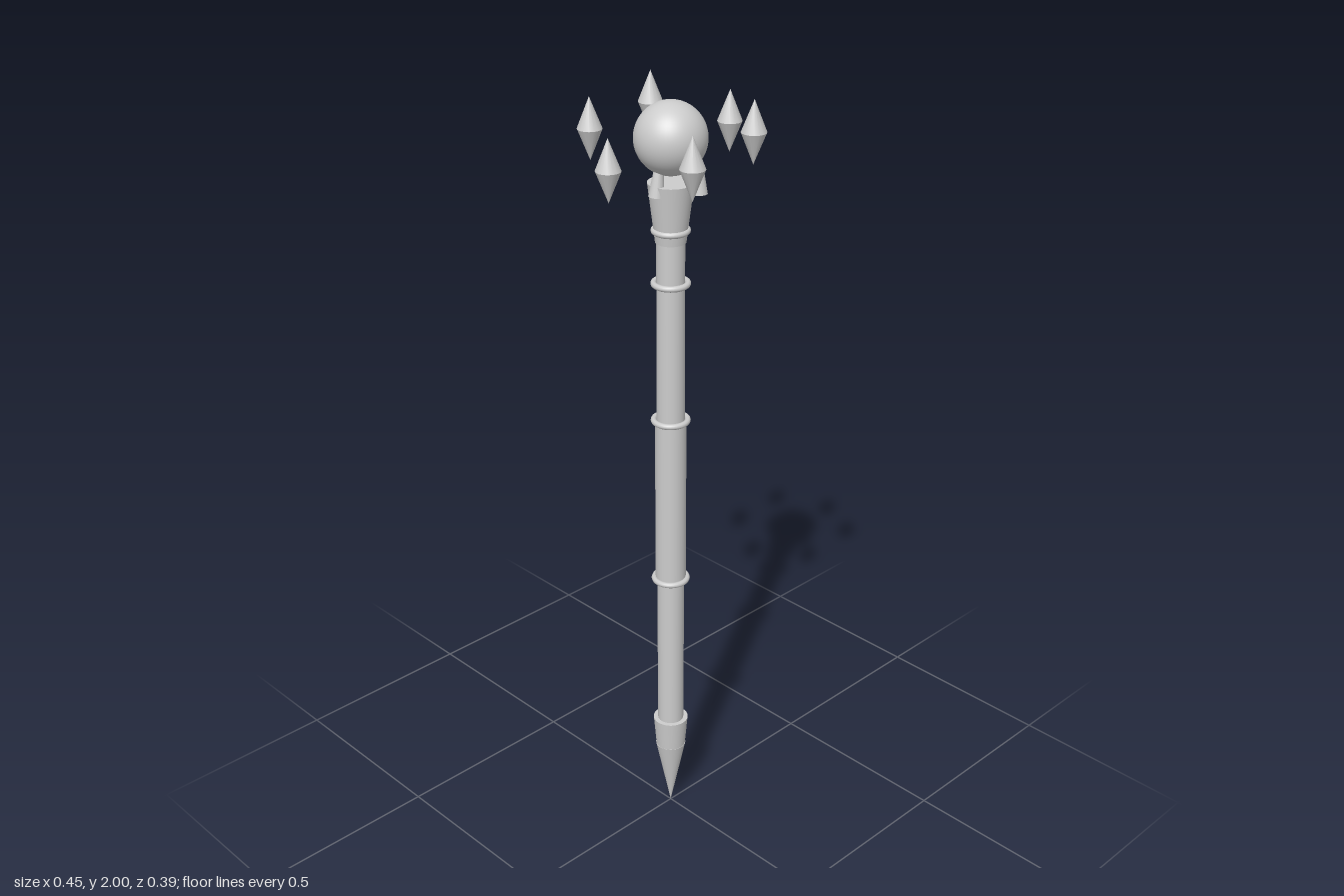
import * as THREE from 'three';

const stone = new THREE.MeshStandardMaterial({ color: 0xcccccc });
stone.name = 'pale grey';

export function createModel() {
  const staff = new THREE.Group();
  staff.name = 'staff';

  const add = (name, geometry, x = 0, y = 0, z = 0, parent = staff) => {
    const mesh = new THREE.Mesh(geometry, stone);
    mesh.name = name;
    mesh.position.set(x, y, z);
    parent.add(mesh);
    return mesh;
  };
  // Upright round section between two heights
  const section = (name, y0, y1, r0, r1) =>
    add(name, new THREE.CylinderGeometry(r1, r0, y1 - y0, 32), 0, (y0 + y1) / 2, 0);

  // Pointed foot with its flared collar
  add('footSpike', new THREE.ConeGeometry(0.04, 0.2, 32).rotateX(Math.PI), 0, 0.1, 0);
  section('footCollar', 0.2, 0.285, 0.039, 0.046);

  // Shaft with a slightly thicker grip
  section('lowerShaft', 0.27, 0.73, 0.034, 0.035);
  section('grip', 0.725, 1.18, 0.039, 0.039);
  section('upperShaft', 1.175, 1.66, 0.035, 0.034);

  // Binding rings
  for (const [y, r] of [[0.727, 0.042], [1.182, 0.042], [1.542, 0.041], [1.674, 0.04]]) {
    add('ring', new THREE.TorusGeometry(r, 0.0075, 10, 40).rotateX(Math.PI / 2), 0, y, 0);
  }

  // Flared head and orb
  section('head', 1.645, 1.79, 0.037, 0.055);
  add('orb', new THREE.SphereGeometry(0.086, 48, 32), 0, 1.894, 0);

  // Three tapering prongs that hold the orb
  const prongs = [
    [[0.04, 1.765, 0.054], [0.042, 1.86, 0.046]],
    [[0.04, 1.765, -0.054], [0.042, 1.86, -0.046]],
    [[-0.046, 1.765, 0], [-0.034, 1.86, 0]],
  ];
  for (const [base, tip] of prongs) {
    const a = new THREE.Vector3(...base), b = new THREE.Vector3(...tip);
    const axis = b.clone().sub(a);
    const prong = add('prong', new THREE.CylinderGeometry(0.007, 0.019, axis.length(), 16));
    prong.position.copy(a).add(b).multiplyScalar(0.5);
    prong.quaternion.setFromUnitVectors(new THREE.Vector3(0, 1, 0), axis.normalize());
  }

  // Six floating crystals at uneven heights
  const heights = [1.894, 1.923, 1.881, 1.86, 1.9, 1.925];
  heights.forEach((y, i) => {
    const angle = (i * Math.PI) / 3;
    const crystal = new THREE.Group();
    crystal.name = 'crystal';
    crystal.position.set(0.193 * Math.cos(angle), y, 0.193 * Math.sin(angle));
    const half = () => new THREE.ConeGeometry(0.03, 0.075, 16, 1, true);
    add('crystalTop', half(), 0, 0.0375, 0, crystal);
    add('crystalBottom', half().rotateX(Math.PI), 0, -0.0375, 0, crystal);
    staff.add(crystal);
  });

  return staff;
}
